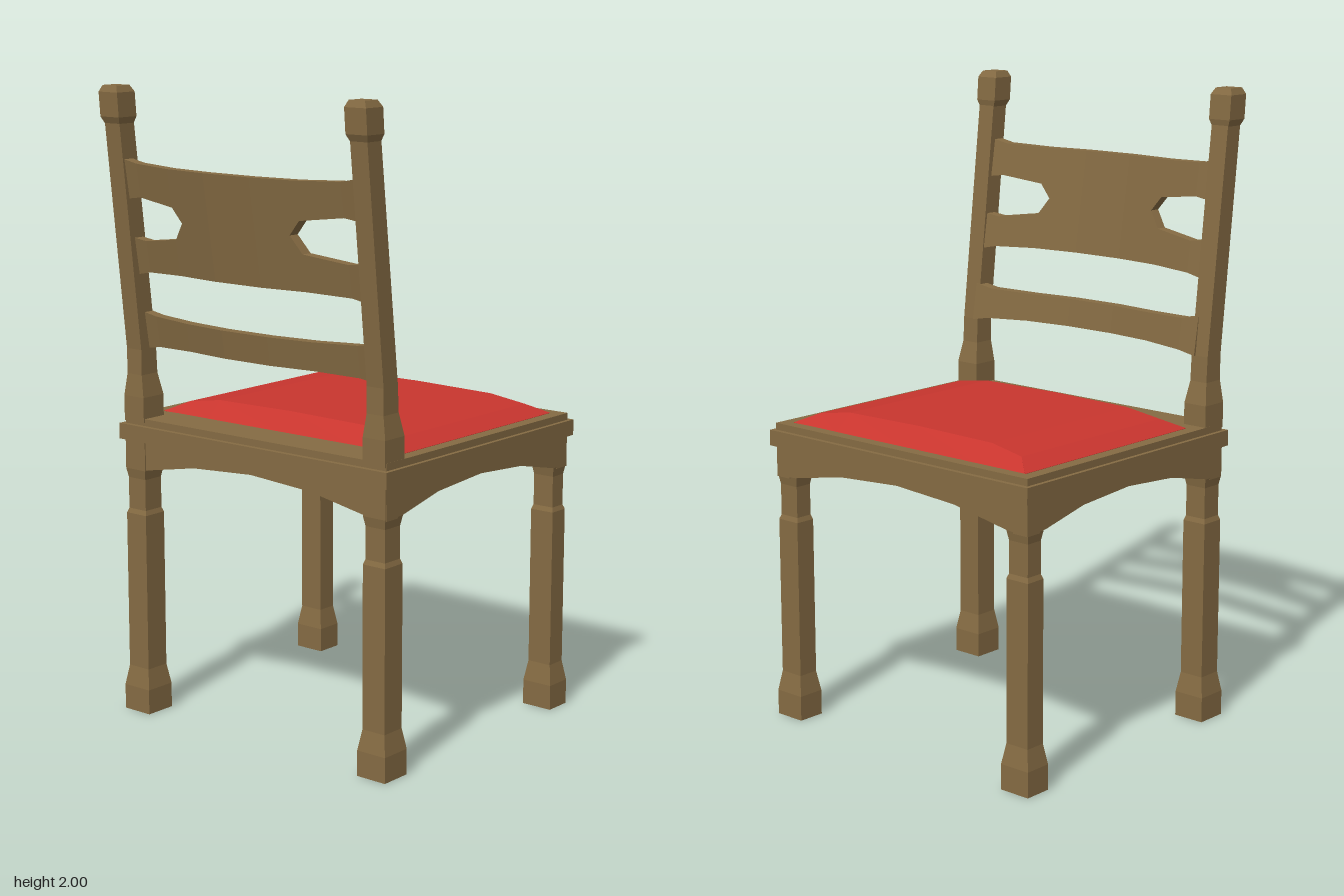
import * as THREE from 'three';

const wood = new THREE.MeshStandardMaterial({ color: 0x856b43, flatShading: true });
wood.name = 'brown wood';
const red = new THREE.MeshStandardMaterial({ color: 0xc8352e, flatShading: true });
red.name = 'red upholstery';

// Skin four-cornered rings, each counter-clockwise seen from the far end, and cap both ends.
function loft(name, rings, material = wood) {
  const pos = [];
  const quad = (a, b, c, d) => pos.push(...a, ...b, ...c, ...a, ...c, ...d);
  for (let i = 0; i < rings.length - 1; i++) {
    for (let j = 0; j < 4; j++) {
      const k = (j + 1) % 4;
      quad(rings[i][j], rings[i][k], rings[i + 1][k], rings[i + 1][j]);
    }
  }
  const [a, b, c, d] = rings[0];
  quad(d, c, b, a);
  quad(...rings[rings.length - 1]);
  const geometry = new THREE.BufferGeometry();
  geometry.setAttribute('position', new THREE.Float32BufferAttribute(pos, 3));
  geometry.computeVertexNormals();
  const mesh = new THREE.Mesh(geometry, material);
  mesh.name = name;
  return mesh;
}

// Cross-sections perpendicular to each axis
const ringY = (y, x, w, z, d) => [
  [x - w / 2, y, z + d / 2], [x + w / 2, y, z + d / 2],
  [x + w / 2, y, z - d / 2], [x - w / 2, y, z - d / 2]];
const ringX = (x, y0, y1, z0, z1) => [[x, y0, z1], [x, y0, z0], [x, y1, z0], [x, y1, z1]];
const ringZ = (z, y0, y1, x0, x1) => [[x0, y0, z], [x1, y0, z], [x1, y1, z], [x0, y1, z]];

function box(name, x0, x1, y0, y1, z0, z1) {
  return loft(name, [ringX(x0, y0, y1, z0, z1), ringX(x1, y0, y1, z0, z1)]);
}

// Extend stations given for x >= 0 to both sides
const mirrored = (half) => [
  ...half.filter((s) => s[0] > 0).reverse().map(([x, ...rest]) => [-x, ...rest]), ...half];

// Backward bow of the slats, piecewise linear in |x|
function bow(x) {
  const p = [[0, 0.045], [0.09, 0.045], [0.25, 0.026], [0.4, 0.003], [0.47, 0]];
  const ax = Math.abs(x);
  for (let i = 1; i < p.length; i++) {
    if (ax <= p[i][0]) {
      const t = (ax - p[i - 1][0]) / (p[i][0] - p[i - 1][0]);
      return p[i - 1][1] + t * (p[i][1] - p[i - 1][1]);
    }
  }
  return 0;
}

// Bowed, tilted slat from stations [x, bottom, top]
function slat(name, stations) {
  const t = 0.018;
  return loft(name, stations.map(([x, y0, y1]) => {
    const za = 0.367 + 0.16 * (y0 - 1.2) + bow(x);
    const zb = 0.367 + 0.16 * (y1 - 1.2) + bow(x);
    return [[x, y0, za + t], [x, y0, za - t], [x, y1, zb - t], [x, y1, zb + t]];
  }));
}

// Leg with a flared foot, square shaft and narrower neck
function leg(name, x, z, w, d) {
  const steps = [[0, 0.022], [0.08, 0.022], [0.145, 0], [0.65, 0], [0.665, -0.011],
    [0.765, -0.011], [0.795, 0], [0.9, 0]];
  return loft(name, steps.map(([y, g]) => ringY(y, x, w + g, z, d + g)));
}

export function createModel() {
  const chair = new THREE.Group();
  chair.name = 'chair';

  for (const s of [-1, 1]) {
    const side = s > 0 ? 'left' : 'right';
    chair.add(leg(side + 'CushionEndLeg', s * 0.481, -0.464, 0.083, 0.068));
    chair.add(leg(side + 'BackrestLeg', s * 0.481, 0.382, 0.083, 0.082));

    // Raked backrest post and its capped finial
    const post = [[0.95, 0.083, 0.38, 0.09], [1.03, 0.083, 0.38, 0.09], [1.1, 0.062, 0.385, 0.07],
      [1.18, 0.062, 0.387, 0.066], [1.9, 0.062, 0.467, 0.062]];
    chair.add(loft(side + 'Post', post.map(([y, w, z, d]) => ringY(y, s * 0.481, w, z, d))));
    const finial = [[1.885, 0.062, 0.466, 0.062], [1.905, 0.078, 0.469, 0.076],
      [1.98, 0.078, 0.475, 0.076], [2.0, 0.058, 0.477, 0.056]];
    chair.add(loft(side + 'Finial', finial.map(([y, w, z, d]) => ringY(y, s * 0.481, w, z, d))));

    // Arched side apron
    const arch = mirrored([[0, 0.85], [0.21, 0.835], [0.38, 0.797], [0.46, 0.79]]);
    const x0 = s > 0 ? 0.468 : -0.523;
    chair.add(loft(side + 'Apron',
      arch.map(([z, y]) => ringZ(z - 0.041, y, 0.9, x0, x0 + 0.055))));
  }

  // Arched aprons across the width
  const arch = mirrored([[0, 0.85], [0.235, 0.835], [0.44, 0.797], [0.523, 0.79]]);
  for (const [name, z] of [['cushionEndApron', -0.501], ['backrestApron', 0.364]]) {
    chair.add(loft(name, arch.map(([x, y]) => ringX(x, y, 0.9, z, z + 0.055))));
  }

  // Seat board with projecting rim and raised frame
  chair.add(box('seatRim', -0.536, 0.536, 0.89, 0.94, -0.517, 0.436));
  chair.add(box('seatFrame', -0.523, 0.523, 0.935, 0.962, -0.502, 0.42));

  // Domed cushion with sloping edges
  const dome = mirrored([[0, 1.016, -0.4, 0.23], [0.295, 1.012, -0.4, 0.23],
    [0.42, 0.993, -0.41, 0.235], [0.482, 0.963, -0.465, 0.29]]);
  chair.add(loft('cushion', dome.map(([x, y, z0, z1]) =>
    [[x, 0.96, 0.29], [x, 0.96, -0.465], [x, y, z0], [x, y, z1]]), red));

  // Lower slat
  chair.add(slat('lowerSlat', mirrored([[0.09, 1.197, 1.285], [0.25, 1.197, 1.285],
    [0.4, 1.191, 1.289], [0.465, 1.18, 1.3]])));

  // Upper slat: solid middle, with a band above and below each cutout
  chair.add(slat('upperSlatMiddle', mirrored([[0.09, 1.435, 1.762], [0.212, 1.435, 1.762]])));
  const upper = [[0.212, 1.6, 1.762], [0.25, 1.645, 1.762], [0.4, 1.663, 1.767], [0.465, 1.654, 1.78]];
  const lower = [[0.212, 1.435, 1.6], [0.25, 1.547, 1.547], [0.4, 1.527, 1.527], [0.465, 1.535, 1.535]]
    .map(([x, , top], i) => [x, [1.435, 1.435, 1.429, 1.416][i], top]);
  const flip = (band) => band.map(([x, a, b]) => [-x, a, b]).reverse();
  chair.add(slat('leftUpperBand', upper), slat('rightUpperBand', flip(upper)));
  chair.add(slat('leftLowerBand', lower), slat('rightLowerBand', flip(lower)));

  return chair;
}
